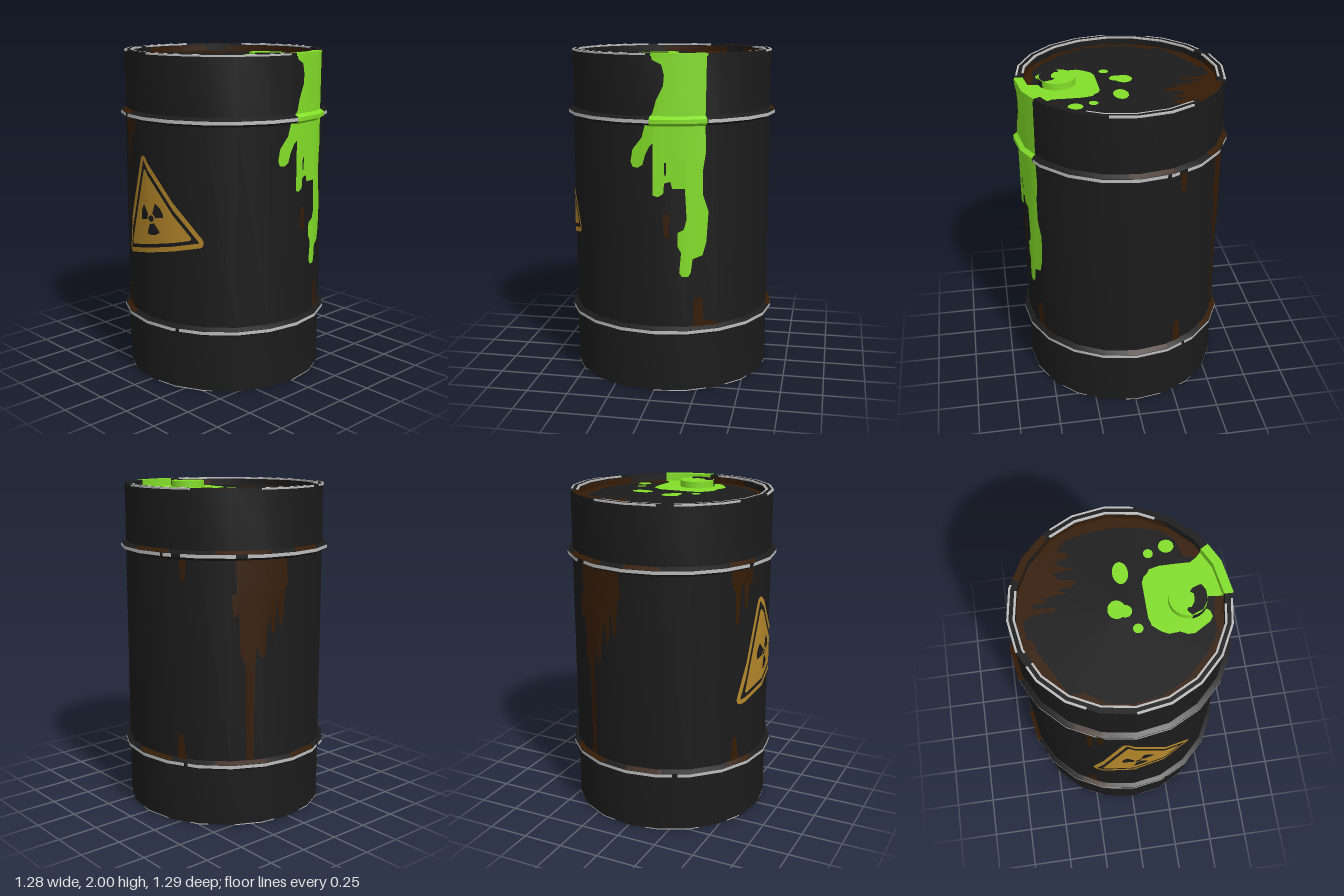
import * as THREE from 'three';
import { toCreasedNormals } from 'three/addons/utils/BufferGeometryUtils.js';

const SIDES = 20, STEP = 360 / SIDES, R = 0.612, RIM = 0.57, LID = 1.95;
const RINGS = [0.38, 1.625];

const colour = (name, color) => Object.assign(new THREE.MeshStandardMaterial({ color }), { name });
const steel = colour('black paint', 0x1b1b1b);
const slime = colour('green slime', 0x82de28);
const rust = colour('rust', 0x351c06);
const silver = colour('bare metal', 0xbcbcbc);
const yellow = colour('sign yellow', 0xb5872a);

// Point on the 20-sided wall; angle 0 is the front, 90 the model's left
function onWall(deg, r, y) {
  const k = Math.floor(deg / STEP + 1e-6), t = deg / STEP - k;
  const corner = (i) => {
    const a = THREE.MathUtils.degToRad(i * STEP);
    return new THREE.Vector3(r * Math.sin(a), y, r * Math.cos(a));
  };
  return corner(k).lerp(corner(k + 1), t);
}
const xToDeg = (x) => THREE.MathUtils.radToDeg(Math.asin(x / R));
const toShape = (pts) => new THREE.Shape(pts.map(([x, y]) => new THREE.Vector2(x, y)));

function fromTriangles(points) {
  const geo = new THREE.BufferGeometry().setFromPoints(points);
  geo.computeVertexNormals();
  return toCreasedNormals(geo, 0.5);
}

// Sweep a profile of [radius, height] round part of the drum
function sweep(profile, a0, a1) {
  const cols = [a0];
  for (let k = Math.floor(a0 / STEP) + 1; k * STEP < a1; k++) cols.push(k * STEP);
  cols.push(a1);
  const out = [];
  for (let j = 0; j + 1 < cols.length; j++)
    for (let i = 0; i + 1 < profile.length; i++) {
      const [a, d] = [i, i + 1].map((n) => onWall(cols[j], ...profile[n]));
      const [b, c] = [i, i + 1].map((n) => onWall(cols[j + 1], ...profile[n]));
      out.push(a, b, c, a, c, d);
    }
  return fromTriangles(out);
}

// Keep the part of a convex polygon where s * (x - limit) >= 0
function clip(poly, limit, s) {
  const out = [];
  poly.forEach((p, i) => {
    const q = poly[(i + 1) % poly.length];
    const dp = s * (p.x - limit), dq = s * (q.x - limit);
    if (dp >= 0) out.push(p);
    if (dp * dq < 0) out.push(p.clone().lerp(q, dp / (dp - dq)));
  });
  return out;
}

// Wrap a flat shape (x in degrees, y in height) onto the wall facets
function wrap(shape, lift) {
  const pos = new THREE.ShapeGeometry(shape).toNonIndexed().getAttribute('position');
  const out = [];
  for (let i = 0; i < pos.count; i += 3) {
    const tri = [0, 1, 2].map((n) => new THREE.Vector2(pos.getX(i + n), pos.getY(i + n)));
    const xs = tri.map((p) => p.x);
    for (let k = Math.floor(Math.min(...xs) / STEP); k * STEP < Math.max(...xs); k++) {
      const poly = clip(clip(tri, k * STEP, 1), (k + 1) * STEP, -1);
      const pts = poly.map((p) => {
        const t = Math.min(Math.max(p.x / STEP - k, 0), 1);
        return onWall(k * STEP, R + lift, p.y).lerp(onWall((k + 1) * STEP, R + lift, p.y), t);
      });
      for (let n = 1; n + 1 < pts.length; n++) out.push(pts[0], pts[n], pts[n + 1]);
    }
  }
  return fromTriangles(out);
}

// Flat plate facing up from [x, z] points
const plate = (shape, y) => new THREE.ShapeGeometry(shape, 20).rotateX(-Math.PI / 2).translate(0, y, 0);
const planShape = (pts) => toShape(pts.map(([x, z]) => [x, -z]));

export function createModel() {
  const model = new THREE.Group();
  const add = (name, geo, mat) => {
    const mesh = new THREE.Mesh(geo, mat);
    mesh.name = name;
    model.add(mesh);
  };

  // Drum with recessed ends and two raised hoops
  const hoop = (y) => [[R, y - 0.027], [0.64, y - 0.011], [0.64, y + 0.011], [R, y + 0.027]];
  const profile = [[0, 0.05], [RIM, 0.05], [RIM, 0.002], [R, 0.002],
    ...hoop(RINGS[0]), ...hoop(RINGS[1]), [R, 1.998], [RIM, 1.998], [RIM, LID], [0, LID]];
  const drum = new THREE.LatheGeometry(profile.map(([x, y]) => new THREE.Vector2(x, y)), SIDES);
  add('drum', toCreasedNormals(drum, 0.5), steel);

  // Worn bare metal on hoops and rims
  const worn = [
    [[[0.642, 0.37], [0.642, 0.39]], [[0, 118], [120, 206], [209, 290], [292, 360]]],
    [[[0.642, 1.615], [0.642, 1.635]], [[29, 105], [107, 112], [117, 146], [152, 250], [253, 359]]],
    [[[0.614, 1.99], [0.614, 2], [0.602, 2]], [[75, 122], [160, 198], [207, 245], [270, 356]]],
    [[[0.58, 2], [0.568, 2], [0.568, 1.99]], [[62, 125], [163, 200], [207, 353]]],
    [[[0.606, 0], [0.614, 0], [0.614, 0.006]], [[0, 30], [42, 60], [84, 106], [120, 131], [146, 170], [190, 222], [240, 250], [275, 310]]],
    [[[0.568, 0.006], [0.568, 0], [0.573, 0]], [[20, 70], [92, 120], [150, 178], [196, 235], [262, 300], [320, 345]]],
  ];
  for (const [path, spans] of worn)
    for (const [a, b] of spans) add('wornEdge', sweep(path, a, b), silver);

  // Rust on the hoop slopes and the rim
  for (const y of RINGS)
    for (const [a, b] of [[85, 110], [135, 165], [180, 200], [238, 256]])
      add('hoopRust', sweep([[0.641, y + 0.013], [0.614, y + 0.029]], a, b), rust);
  for (const [a, b] of [[55, 135], [150, 195], [330, 358]])
    add('rimRust', sweep([[0.567, 1.985], [0.567, LID]], a, b), rust);
  add('rimTopRust', sweep([[0.611, 2], [0.569, 2]], 127, 157), rust);

  // Rust runs below the hoops
  const runs = [
    [[146, 1.6], [147, 1.42], [144, 1.4], [145, 1.27], [148, 1.3], [149, 1.05], [152, 0.98], [152.5, 0.4],
      [156.5, 0.4], [157, 0.95], [158, 1.1], [161, 1.02], [163, 1.05], [164, 1.2], [166, 1.3], [167, 1.15],
      [169, 1.18], [170, 1.4], [172, 1.2], [174, 1.25], [175, 1.42], [177, 1.45], [176, 1.6]],
    [[240, 1.6], [241, 1.5], [243, 1.48], [244, 1.25], [246, 1.3], [247, 1.5], [249, 1.52], [250, 1.36],
      [252, 1.38], [253, 1.5], [256, 1.52], [257, 1.6]],
    [[115, 1.6], [115.5, 1.49], [118.5, 1.47], [119, 1.6]],
    [[113, 0.4], [113.5, 0.55], [117, 0.56], [117.5, 0.46], [119, 0.4]],
    [[242, 0.4], [243, 0.55], [246, 0.56], [247, 0.46], [249, 0.4]],
    [[22, 0.4], [22.5, 0.58], [27.5, 0.58], [28, 0.44], [37, 0.42], [37, 0.4]],
    [[5, 1.1], [6, 0.96], [8.5, 0.94], [9, 1.08]],
  ];
  for (const run of runs) add('rustRun', wrap(toShape(run), 0.003), rust);

  // Ragged rust round the lid
  const edge = [];
  for (let i = 0; i < SIDES; i++) {
    const p = onWall(i * STEP, RIM - 0.001, 0);
    edge.push([p.x, p.z]);
  }
  const lidRust = planShape(edge);
  lidRust.holes.push(planShape([[0, -0.53], [0.03, -0.48], [0.04, -0.35], [0.06, -0.35], [0.07, -0.46],
    [0.09, -0.47], [0.1, -0.38], [0.12, -0.42], [0.14, -0.27], [0.16, -0.33], [0.18, -0.23], [0.21, -0.21],
    [0.22, -0.3], [0.26, -0.34], [0.28, -0.22], [0.3, -0.28], [0.33, -0.33], [0.35, -0.25], [0.38, -0.24],
    [0.4, -0.3], [0.46, -0.25], [0.49, -0.1], [0.5, 0.05], [0.47, 0.2], [0.45, 0.28], [0.38, 0.36],
    [0.27, 0.39], [0.24, 0.5], [0, 0.52], [-0.1, 0.5], [-0.2, 0.5], [-0.32, 0.42], [-0.44, 0.3],
    [-0.52, 0.15], [-0.54, 0], [-0.52, -0.14], [-0.44, -0.26], [-0.45, -0.33], [-0.36, -0.4],
    [-0.25, -0.46], [-0.2, -0.53], [-0.14, -0.47], [-0.1, -0.52]]));
  add('lidRust', plate(lidRust, LID + 0.002), rust);

  // Rust smear under the drum
  const smear = toShape([[0.45, 0.32], [0.36, 0.26], [0.3, 0.12], [0.2, 0.02], [0.17, -0.08], [0.2, -0.22],
    [0.28, -0.24], [0.27, -0.08], [0.34, 0.06], [0.42, 0.14], [0.48, 0.22]]);
  add('baseRust', new THREE.ShapeGeometry(smear).rotateX(Math.PI / 2).translate(0, 0.047, 0), rust);

  // Slime puddle and splashes on the lid
  const puddle = planShape([[-0.12, 0.155], [-0.07, 0.142], [0.14, 0.14], [0.175, 0.155], [0.19, 0.175], [0.215, 0.19],
    [0.228, 0.25], [0.228, 0.33], [0.225, 0.42], [0.25, 0.46], [0.28, 0.49], [0.18, 0.54], [0, 0.565], [0.01, 0.46],
    [-0.06, 0.46], [-0.075, 0.48], [-0.11, 0.49], [-0.14, 0.47], [-0.17, 0.42], [-0.195, 0.38], [-0.195, 0.34],
    [-0.175, 0.3], [-0.18, 0.24], [-0.16, 0.2]]);
  add('slimePuddle', plate(puddle, LID + 0.005), slime);
  const splashes = [[0, -0.02, 0.055, 0.05], [-0.015, 0.025, 0.037, 0.038], [0.215, 0.03, 0.067, 0.044],
    [-0.125, 0.08, 0.028, 0.028], [0.31, 0.2, 0.028, 0.027], [0.342, 0.305, 0.04, 0.043]];
  splashes.forEach(([x, z, rx, rz], i) => {
    const spot = new THREE.Shape().absellipse(x, -z, rx, rz, 0, Math.PI * 2);
    add('slimeSplash', plate(spot, LID + 0.005 + i * 0.0002), slime);
  });

  // Slime over the rim and upper hoop, then down the front
  const y = RINGS[1];
  add('slimeOnRim', sweep([[0.617, 1.985], [0.617, 2], [0.565, 2], [0.565, LID]], -1, 29.5), slime);
  add('slimeOnHoop', sweep([[0.616, y - 0.03], [0.643, y - 0.012], [0.643, y + 0.012], [0.616, y + 0.03]], -1.5, 28.5), slime);
  const drip = toShape([[-0.01, 1.998], [0.0, 1.965], [0.05, 1.94], [0.065, 1.88], [0.06, 1.82], [0.02, 1.74], [0, 1.67],
    [-0.04, 1.62], [-0.065, 1.53], [-0.12, 1.46], [-0.132, 1.39], [-0.12, 1.36], [-0.09, 1.355], [-0.06, 1.375],
    [-0.045, 1.43], [-0.02, 1.48], [0, 1.5], [0, 1.2], [0.03, 1.19], [0.06, 1.21], [0.065, 1.27], [0.1, 1.28],
    [0.11, 1.24], [0.18, 1.24], [0.19, 1.06], [0.175, 1], [0.14, 0.98], [0.14, 0.9], [0.16, 0.86], [0.15, 0.74],
    [0.165, 0.715], [0.2, 0.715], [0.215, 0.74], [0.225, 0.82], [0.28, 0.84], [0.3, 0.92], [0.31, 1.1],
    [0.28, 1.2], [0.28, 1.35], [0.295, 1.45], [0.29, 1.6], [0.295, 1.998]].map(([x, h]) => [xToDeg(x), h]));
  drip.holes.push(toShape([[6, 1.33], [6.6, 1.31], [7.2, 1.33], [7.2, 1.39], [6.2, 1.39]]));
  add('slimeDrip', wrap(drip, 0.006), slime);

  // Bung cap, green with a patch of bare paint at the front
  const cap = new THREE.CylinderGeometry(0.107, 0.107, 0.045, 24);
  add('bungCap', cap.translate(0, LID + 0.0225, 0.37), slime);
  const bare = planShape([[-0.106, 0.375], [-0.075, 0.352], [-0.06, 0.36], [-0.06, 0.38], [-0.03, 0.4], [0.015, 0.405],
    [0.03, 0.385], [0.05, 0.4], [0.065, 0.44], [0.065, 0.455], [0.03, 0.473], [-0.03, 0.473], [-0.08, 0.441]]);
  add('capBareTop', plate(bare, LID + 0.048), steel);
  const bareSide = new THREE.CylinderGeometry(0.11, 0.11, 0.044, 12, 1, true, -1.5, 2.1);
  add('capBareSide', bareSide.translate(0, LID + 0.0235, 0.37), steel);

  // Tilted warning sign on the model's right side
  const TILT = THREE.MathUtils.degToRad(12);
  const place = (a, r) => [Math.cos(a + TILT) * r, Math.sin(a + TILT) * r];
  const onSign = (pts) => toShape(pts.map(([u, v]) => [270 + THREE.MathUtils.radToDeg((u + 0.025) / R), v + 1.03]));
  const triangle = (reach, round) => {
    const pts = [];
    for (let i = 0; i < 3; i++) {
      const a = Math.PI / 2 + (i * Math.PI * 2) / 3, c = place(a, reach);
      for (let n = -2; n <= 2; n++) {
        const e = place(a + (n * Math.PI) / 6, round);
        pts.push([c[0] + e[0], c[1] + e[1]]);
      }
    }
    return onSign(pts);
  };
  const frame = triangle(0.345, 0.032);
  frame.holes.push(triangle(0.345, 0.003));
  add('signFrame', wrap(frame, 0.005), yellow);
  add('signPanel', wrap(triangle(0.28, 0.014), 0.005), yellow);
  const arc = (r, a0, a1, n) => Array.from({ length: n + 1 }, (_, i) => place(a0 + ((a1 - a0) * i) / n, r));
  add('signHub', wrap(onSign(arc(0.02, 0, Math.PI * 2, 12).slice(0, 12)), 0.008), steel);
  for (let i = 0; i < 3; i++) {
    const a = Math.PI / 6 + (i * Math.PI * 2) / 3, w = Math.PI / 6;
    add('signBlade', wrap(onSign([...arc(0.1, a - w, a + w, 6), ...arc(0.032, a + w, a - w, 3)]), 0.008), steel);
  }
  return model;
}
